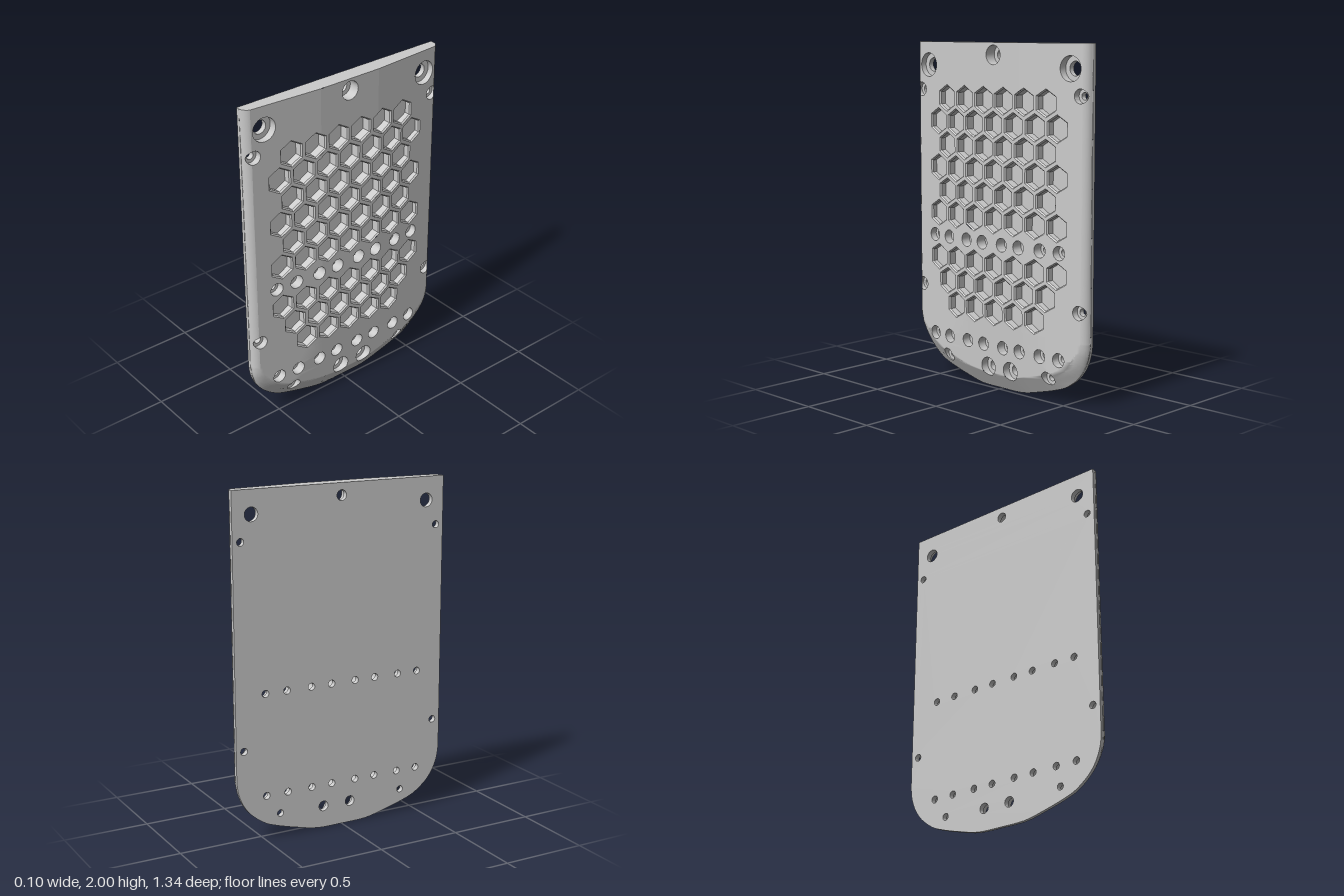
import * as THREE from 'three';
import { toCreasedNormals } from 'three/addons/utils/BufferGeometryUtils.js';

// The plate is laid out in (z, y) and given thickness along x.
const BACK = -0.05, HALF = 0.67;
const V = (z, y) => new THREE.Vector2(z, y);

// Outline: straight sides and top, softly rounded foot
const foot = new THREE.SplineCurve([
  V(0.0, 0), V(0.16, 0.003), V(0.3, 0.034), V(0.42, 0.068), V(0.5, 0.1), V(0.58, 0.16),
  V(0.63, 0.225), V(0.66, 0.3), V(HALF, 0.37)
]).getPoints(32);
const half = [...foot, V(HALF, 2)];
const outline = [...half.slice(1).reverse().map(p => V(-p.x, p.y)), ...half];

// Distance from the sides and foot (the top edge is cut square)
function edgeDistance(p) {
  let best = Infinity;
  for (let i = 0; i < outline.length - 1; i++) {
    const a = outline[i], b = outline[i + 1];
    const dx = b.x - a.x, dy = b.y - a.y;
    const t = THREE.MathUtils.clamp(((p.x - a.x) * dx + (p.y - a.y) * dy) / (dx * dx + dy * dy), 0, 1);
    best = Math.min(best, Math.hypot(p.x - a.x - dx * t, p.y - a.y - dy * t));
  }
  return best;
}

// Outer face: flat middle, sloped flanks, rounded sides, chamfered foot
function faceHeight(p) {
  const flank = 0.048 - 0.07 * Math.max(0, Math.abs(p.x) - 0.2);
  const low = 0.03 + 0.045 * (p.y - 0.1);
  const d = edgeDistance(p);
  const r = 1 - Math.min(d / 0.07, 1);
  const round = -0.03 + 0.055 * Math.sqrt(1 - r * r) + Math.max(0, d - 0.07);
  const chamfer = -0.03 + 0.62 * d;
  const k = THREE.MathUtils.smoothstep(p.y, 0.12, 0.38);
  return Math.min(flank, low, chamfer + (round - chamfer) * k);
}

// Slope of the outer face as a normal
function faceNormal(p) {
  const e = 5e-4;
  const dz = (faceHeight(V(p.x + e, p.y)) - faceHeight(V(p.x - e, p.y))) / (2 * e);
  const dy = (faceHeight(V(p.x, p.y + e)) - faceHeight(V(p.x, p.y - e))) / (2 * e);
  return new THREE.Vector3(1, -dy, -dz).normalize();
}

// Cuts flat triangles along the line where f equals c
function split(tris, f, c) {
  const out = [];
  for (const tri of tris) {
    const s = tri.map(p => { const v = f(p) - c; return Math.abs(v) < 1e-5 ? 0 : v; });
    if (s.every(v => v >= 0) || s.every(v => v <= 0)) { out.push(tri); continue; }
    for (const side of [1, -1]) {
      const poly = [];
      for (let i = 0; i < 3; i++) {
        const j = (i + 1) % 3;
        if (s[i] * side >= 0) poly.push(tri[i]);
        if (s[i] * s[j] < 0) poly.push(tri[i].clone().lerp(tri[j], s[i] / (s[i] - s[j])));
      }
      for (let i = 1; i < poly.length - 1; i++) out.push([poly[0], poly[i], poly[i + 1]]);
    }
  }
  return out;
}

const at = (p, x) => new THREE.Vector3(x, p.y, p.x);
const onFace = p => at(p, faceHeight(p));
const circle = (z, y, r, n, turn = 0) => Array.from({ length: n }, (_, i) => {
  const a = turn + i * 2 * Math.PI / n;
  return V(z + r * Math.cos(a), y + r * Math.sin(a));
});

// Skins a chain of closed loops
function skin(loops, out) {
  for (let k = 0; k < loops.length - 1; k++) {
    const A = loops[k], B = loops[k + 1], n = A.length;
    for (let i = 0; i < n; i++) {
      const j = (i + 1) % n;
      out.push([A[i], B[i], B[j]], [A[i], B[j], A[j]]);
    }
  }
}

const material = new THREE.MeshStandardMaterial({ color: 0xcccccc });

// Uses the given corner normals, or creases the edges when there are none
function addMesh(group, name, tris, normals) {
  const g = new THREE.BufferGeometry().setFromPoints(tris.flat());
  if (normals) g.setAttribute('normal', new THREE.Float32BufferAttribute(normals.flatMap(n => n.toArray()), 3));
  const mesh = new THREE.Mesh(normals ? g : toCreasedNormals(g, 0.4), material);
  mesh.name = name;
  group.add(mesh);
}

function flatTriangles(holes) {
  const shape = new THREE.Shape(outline);
  shape.holes = holes.map(h => new THREE.Path(h.slice().reverse()));
  const g = new THREE.ShapeGeometry(shape), p = g.attributes.position, ix = g.index.array;
  const tris = [];
  for (let i = 0; i < ix.length; i += 3)
    tris.push([0, 1, 2].map(k => V(p.getX(ix[i + k]), p.getY(ix[i + k]))));
  return tris;
}

export function createModel() {
  const group = new THREE.Group();
  group.name = 'perforatedPanel';

  // Hexagon rows: [height, count]
  const rows = [[1.675, 6], [1.538, 7], [1.402, 6], [1.266, 7], [1.13, 6], [0.995, 7],
    [0.73, 7], [0.595, 6], [0.46, 5]];
  const hexes = rows.flatMap(([y, n]) =>
    Array.from({ length: n }, (_, i) => [(i - (n - 1) / 2) * 0.156, y]));

  // Screw holes: [z, y, counterbore radius, bore radius]
  const screws = [[0, 1.93, 0.055, 0.03], [0.055, 0.13, 0.055, 0.03], [-0.12, 0.13, 0.055, 0.03]];
  for (const s of [1, -1]) {
    screws.push([s * 0.555, 1.865, 0.07, 0.04], [s * 0.4, 0.14, 0.04, 0.02]);
    for (const y of [1.72, 0.545]) screws.push([s * 0.622, y, 0.04, 0.021]);
  }
  for (const y of [0.86, 0.26])
    for (const z of [0.507, 0.375, 0.22, 0.09, -0.065, -0.195, -0.35, -0.485])
      screws.push([z, y, 0.04, 0.021]);

  const hexLoop = ([z, y], r) => circle(z, y, r, 6, Math.PI / 6);
  const bore = ([z, y], r) => circle(z, y, r, 24);

  // Outer face, cut finely enough to follow its curvature
  let face = flatTriangles([...hexes.map(h => hexLoop(h, 0.079)), ...screws.map(s => bore(s, s[2]))]);
  for (const z of [-0.6, -0.4, -0.2, 0, 0.2, 0.4, 0.6]) face = split(face, p => p.x, z);
  for (const y of [0.06, 0.1, 0.15, 0.2, 0.25, 0.3, 0.38, 0.5, 1, 1.5]) face = split(face, p => p.y, y);
  for (const d of [0.003, 0.01, 0.02, 0.035, 0.05, 0.07, 0.1]) face = split(face, edgeDistance, d);
  face = face.map(([a, b, c]) => [a, c, b]);
  // Normals are read just inside each triangle, so the ridges stay crisp
  const normals = face.flatMap(t => {
    const mid = t[0].clone().add(t[1]).add(t[2]).divideScalar(3);
    return t.map(p => faceNormal(p.clone().lerp(mid, 0.1)));
  });
  addMesh(group, 'outerFace', face.map(t => t.map(onFace)), normals);

  // Flat back
  const back = flatTriangles(screws.map(s => bore(s, s[3])));
  addMesh(group, 'backFace', back.map(t => t.map(p => at(p, BACK))));

  // Rim: sides, foot and the bowed section of the top edge
  const top = Array.from({ length: 59 }, (_, i) => V(HALF * Math.cos((i + 1) * Math.PI / 60), 2));
  const around = [...outline, ...top];
  const rim = [];
  skin([around.map(p => at(p, BACK)), around.map(onFace)], rim);
  addMesh(group, 'rim', rim);

  // Hexagonal pockets with a small chamfer and a flat floor
  const pockets = [];
  for (const h of hexes) {
    const inner = hexLoop(h, 0.071), floor = inner.map(p => at(p, -0.01));
    skin([hexLoop(h, 0.079).map(onFace), inner.map(p => at(p, faceHeight(p) - 0.008)), floor], pockets);
    for (let i = 1; i < 5; i++) pockets.push([floor[0], floor[i + 1], floor[i]]);
  }
  addMesh(group, 'hexagonPockets', pockets);

  // Counterbored screw holes running right through
  const holes = [];
  for (const s of screws) {
    const wide = bore(s, s[2]), narrow = bore(s, s[3]);
    skin([wide.map(onFace), wide.map(p => at(p, -0.018)),
      narrow.map(p => at(p, -0.018)), narrow.map(p => at(p, BACK))], holes);
  }
  addMesh(group, 'screwHoles', holes);
  return group;
}
